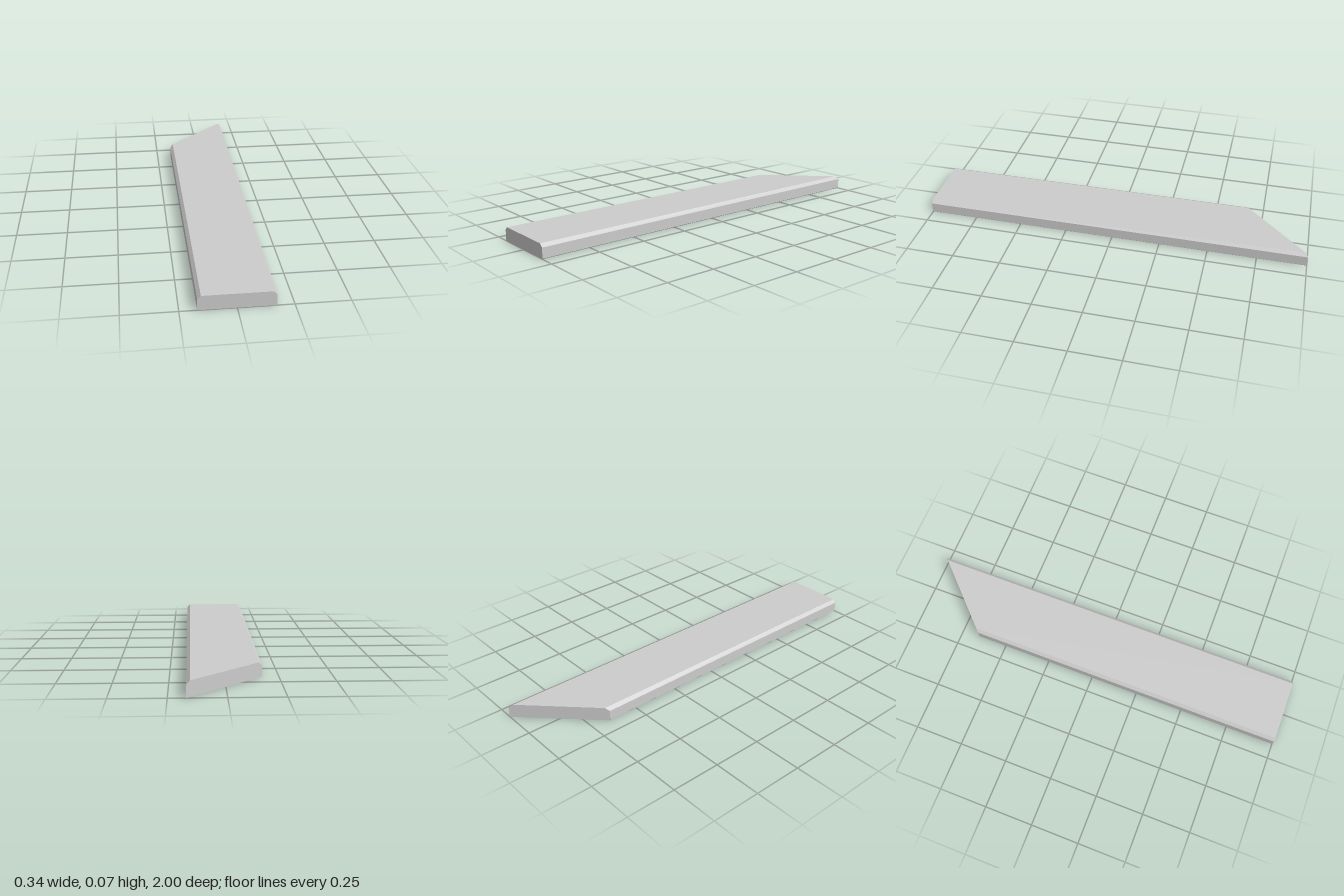
import * as THREE from 'three';

const HALF_WIDTH = 0.172, HEIGHT = 0.071;
const TOP_BEVEL = 0.016, BOTTOM_BEVEL = 0.003;

export function createModel() {
  const group = new THREE.Group();
  group.name = 'mitredPlank';

  // Cross-section with wide bevels on top and narrow ones below
  const w = HALF_WIDTH, h = HEIGHT, t = TOP_BEVEL, b = BOTTOM_BEVEL;
  const profile = new THREE.Shape([
    [-w + b, 0], [w - b, 0], [w, b], [w, h - t],
    [w - t, h], [-w + t, h], [-w, h - t], [-w, b],
  ].map(([x, y]) => new THREE.Vector2(x, y)));

  const geometry = new THREE.ExtrudeGeometry(profile, { depth: 1, bevelEnabled: false });

  // Square front end at z = 1, back end mitred at 45 degrees
  const pos = geometry.attributes.position;
  for (let i = 0; i < pos.count; i++) {
    if (pos.getZ(i) < 0.5) pos.setZ(i, -1 + w - pos.getX(i));
  }
  geometry.computeVertexNormals();

  const plank = new THREE.Mesh(
    geometry,
    new THREE.MeshStandardMaterial({ color: 0xcccccc, flatShading: true }),
  );
  plank.name = 'plank';
  group.add(plank);
  return group;
}
